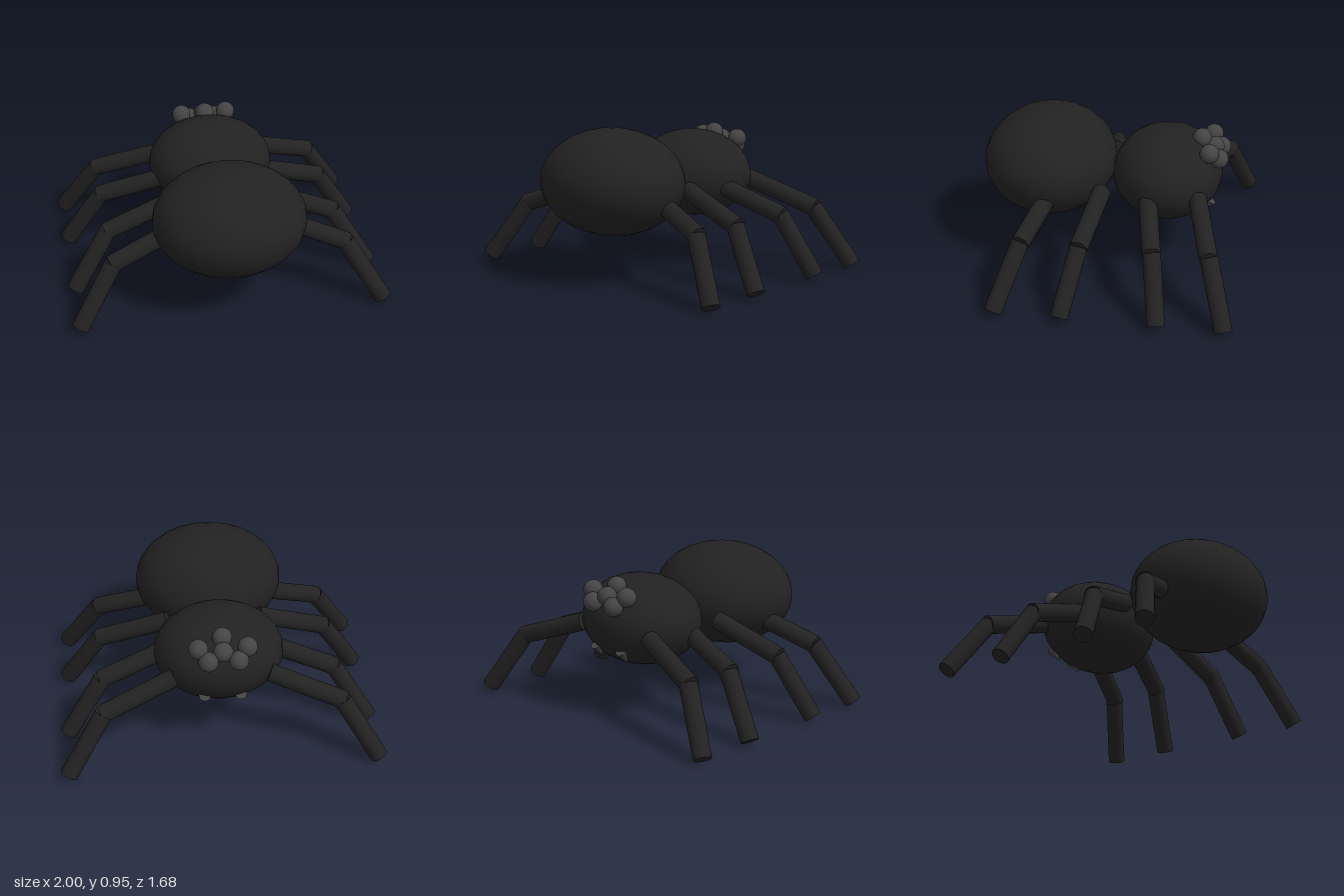
import * as THREE from 'three';

const bodyBlack = new THREE.MeshStandardMaterial({ color: 0x222222 });
bodyBlack.name = 'bodyBlack';
const eyeGrey = new THREE.MeshStandardMaterial({ color: 0x444444 });
eyeGrey.name = 'eyeGrey';

function ellipsoid(name, center, radii, material, segments = 24) {
  const mesh = new THREE.Mesh(new THREE.SphereGeometry(1, segments, Math.round(segments * 0.67)), material);
  mesh.name = name;
  mesh.position.set(...center);
  mesh.scale.set(...radii);
  return mesh;
}

// Tapered rod running from one point to another
function rod(name, from, to, r0, r1, material) {
  const a = new THREE.Vector3(...from);
  const b = new THREE.Vector3(...to);
  const dir = b.clone().sub(a);
  const mesh = new THREE.Mesh(new THREE.CylinderGeometry(r1, r0, dir.length(), 24), material);
  mesh.name = name;
  mesh.position.copy(a).add(b).multiplyScalar(0.5);
  mesh.quaternion.setFromUnitVectors(new THREE.Vector3(0, 1, 0), dir.normalize());
  return mesh;
}

export function createModel() {
  const spider = new THREE.Group();
  spider.name = 'spider';

  // Body
  spider.add(ellipsoid('abdomen', [0, 0.62, 0.42], [0.475, 0.33, 0.42], bodyBlack));
  spider.add(ellipsoid('head', [0, 0.585, -0.33], [0.4, 0.28, 0.345], bodyBlack));

  // Legs: z of hip, knee and foot for each pair, front of head first
  const legs = [
    [-0.55, -0.67, -0.79],
    [-0.24, -0.33, -0.39],
    [0.045, 0.11, 0.19],
    [0.35, 0.465, 0.595],
  ];
  for (const side of [1, -1]) {
    legs.forEach(([hip, knee, foot], i) => {
      const leg = new THREE.Group();
      leg.name = `${side > 0 ? 'left' : 'right'}Leg${i + 1}`;
      leg.add(rod('thigh', [side * 0.29, 0.55, hip], [side * 0.74, 0.395, knee], 0.057, 0.057, bodyBlack));
      leg.add(rod('shin', [side * 0.725, 0.4, knee], [side * 0.952, 0.037, foot], 0.055, 0.055, bodyBlack));
      spider.add(leg);
    });
  }

  // Eye cluster
  const eyes = [
    [0, 0.825, -0.54], [0, 0.775, -0.62],
    [0.147, 0.79, -0.6], [-0.147, 0.79, -0.6],
    [0.09, 0.733, -0.655], [-0.09, 0.733, -0.655],
  ];
  for (const p of eyes) spider.add(ellipsoid('eye', p, [0.06, 0.06, 0.06], eyeGrey));

  // Fangs under the head
  for (const side of [1, -1]) {
    spider.add(rod('fang', [side * 0.11, 0.45, -0.615], [side * 0.11, 0.365, -0.56], 0.036, 0, eyeGrey));
  }
  return spider;
}
